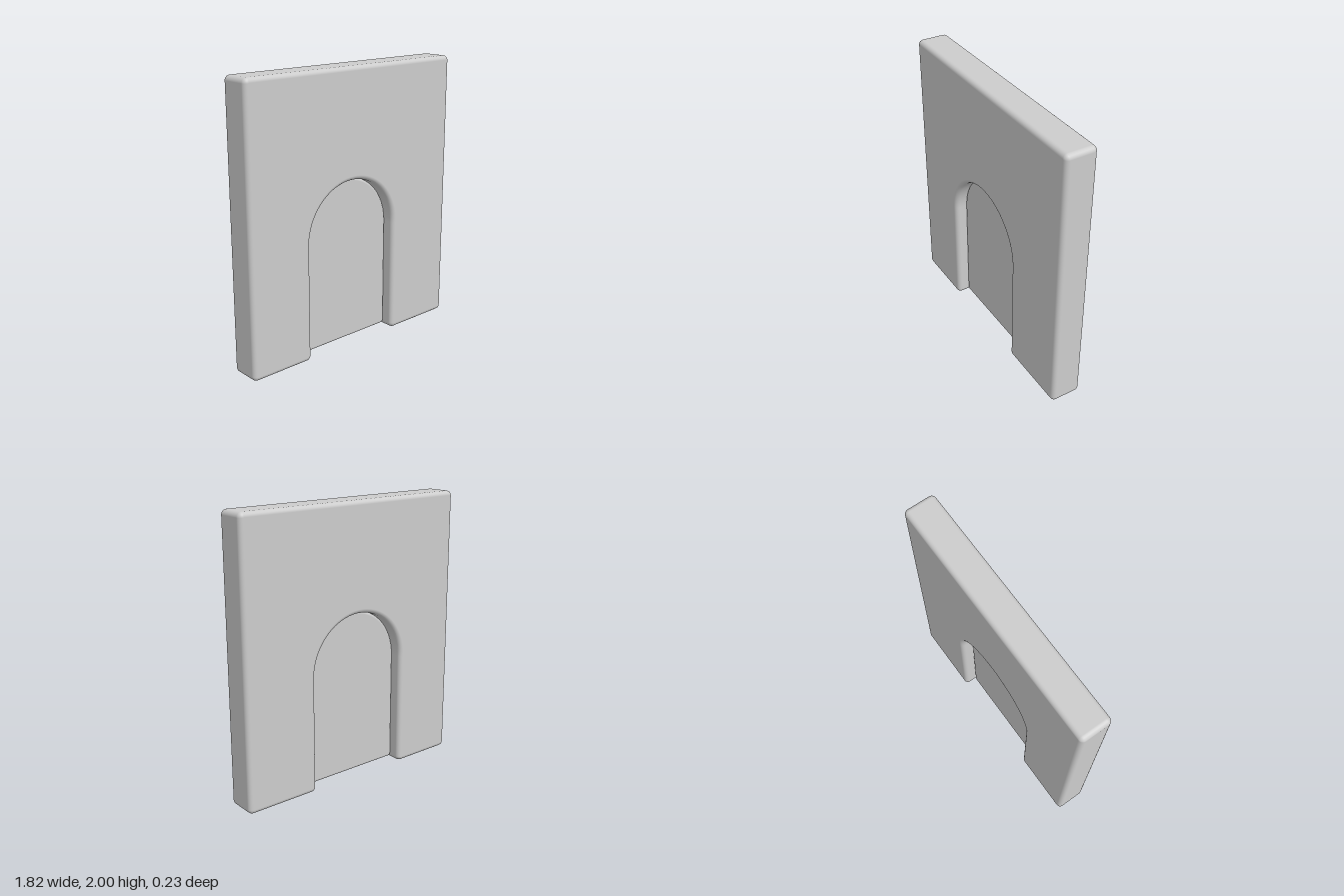
import * as THREE from 'three';

const HALF_W = 0.91, HEIGHT = 2, HALF_DEPTH = 0.113, BEVEL = 0.032;
const ARCH_X = -0.0325, ARCH_R = 0.3875, SPRING_Y = 0.835;

// Outline made of arcs [cx, cy, radius, startDeg, endDeg, steps]; straight edges join them.
// Arcs that run clockwise are concave, so their normals point to the centre.
function outline(arcs) {
  const pts = [];
  for (const [cx, cy, r, a0, a1, steps] of arcs) {
    const sign = a1 > a0 ? 1 : -1;
    for (let i = 0; i <= steps; i++) {
      const a = THREE.MathUtils.degToRad(a0 + (a1 - a0) * i / steps);
      const c = Math.cos(a), s = Math.sin(a);
      pts.push({ x: cx + r * c, y: cy + r * s, nx: sign * c, ny: sign * s });
    }
  }
  return pts;
}

// Slab with flat faces and round edges, swept around a counter-clockwise outline.
function roundedSlab(pts, halfDepth, bevel, steps = 6) {
  const n = pts.length, pos = [], nor = [], idx = [];
  const rings = 2 * (steps + 1);
  for (let k = 0; k < rings; k++) {
    const front = k > steps;
    const phi = (front ? k - steps - 1 : k - steps) / steps * Math.PI / 2;
    const c = Math.cos(phi), s = Math.sin(phi);
    const inset = bevel * (1 - c);
    const z = (front ? 1 : -1) * (halfDepth - bevel) + bevel * s;
    for (const p of pts) {
      pos.push(p.x - p.nx * inset, p.y - p.ny * inset, z);
      nor.push(p.nx * c, p.ny * c, s);
    }
  }
  for (let k = 0; k < rings - 1; k++) {
    for (let i = 0; i < n; i++) {
      const j = (i + 1) % n, a = k * n, b = a + n;
      idx.push(a + i, a + j, b + j, a + i, b + j, b + i);
    }
  }
  // Flat front and back faces
  const face = pts.map(p => new THREE.Vector2(p.x - p.nx * bevel, p.y - p.ny * bevel));
  const last = (rings - 1) * n;
  for (const [a, b, c] of THREE.ShapeUtils.triangulateShape(face, [])) {
    idx.push(last + a, last + b, last + c, c, b, a);
  }
  const geo = new THREE.BufferGeometry();
  geo.setAttribute('position', new THREE.Float32BufferAttribute(pos, 3));
  geo.setAttribute('normal', new THREE.Float32BufferAttribute(nor, 3));
  geo.setIndex(idx);
  return geo;
}

export function createModel() {
  const group = new THREE.Group();
  group.name = 'archedWall';
  const stone = new THREE.MeshStandardMaterial({ color: 0xcccccc });
  stone.name = 'grey stone';

  const add = (name, geo) => {
    const mesh = new THREE.Mesh(geo, stone);
    mesh.name = name;
    group.add(mesh);
  };

  // Wall with an arched doorway cut up from the floor
  const c = BEVEL + 0.003, w = HALF_W - c;
  const left = ARCH_X - ARCH_R, right = ARCH_X + ARCH_R;
  add('wall', roundedSlab(outline([
    [w, c, c, -90, 0, 6],
    [w, HEIGHT - c, c, 0, 90, 6],
    [-w, HEIGHT - c, c, 90, 180, 6],
    [-w, c, c, 180, 270, 6],
    [left - c, c, c, -90, 0, 6],
    [ARCH_X, SPRING_Y, ARCH_R, 180, 0, 40],
    [right + c, c, c, 180, 270, 6],
  ]), HALF_DEPTH, BEVEL));

  // Thin door panel set in the middle of the doorway, just off the floor
  const d = 0.022, bottom = 0.022;
  add('doorPanel', roundedSlab(outline([
    [right - d, bottom + d, d, -90, 0, 5],
    [ARCH_X, SPRING_Y, ARCH_R, 0, 180, 40],
    [left + d, bottom + d, d, 180, 270, 5],
  ]), 0.03, 0.02));

  return group;
}
